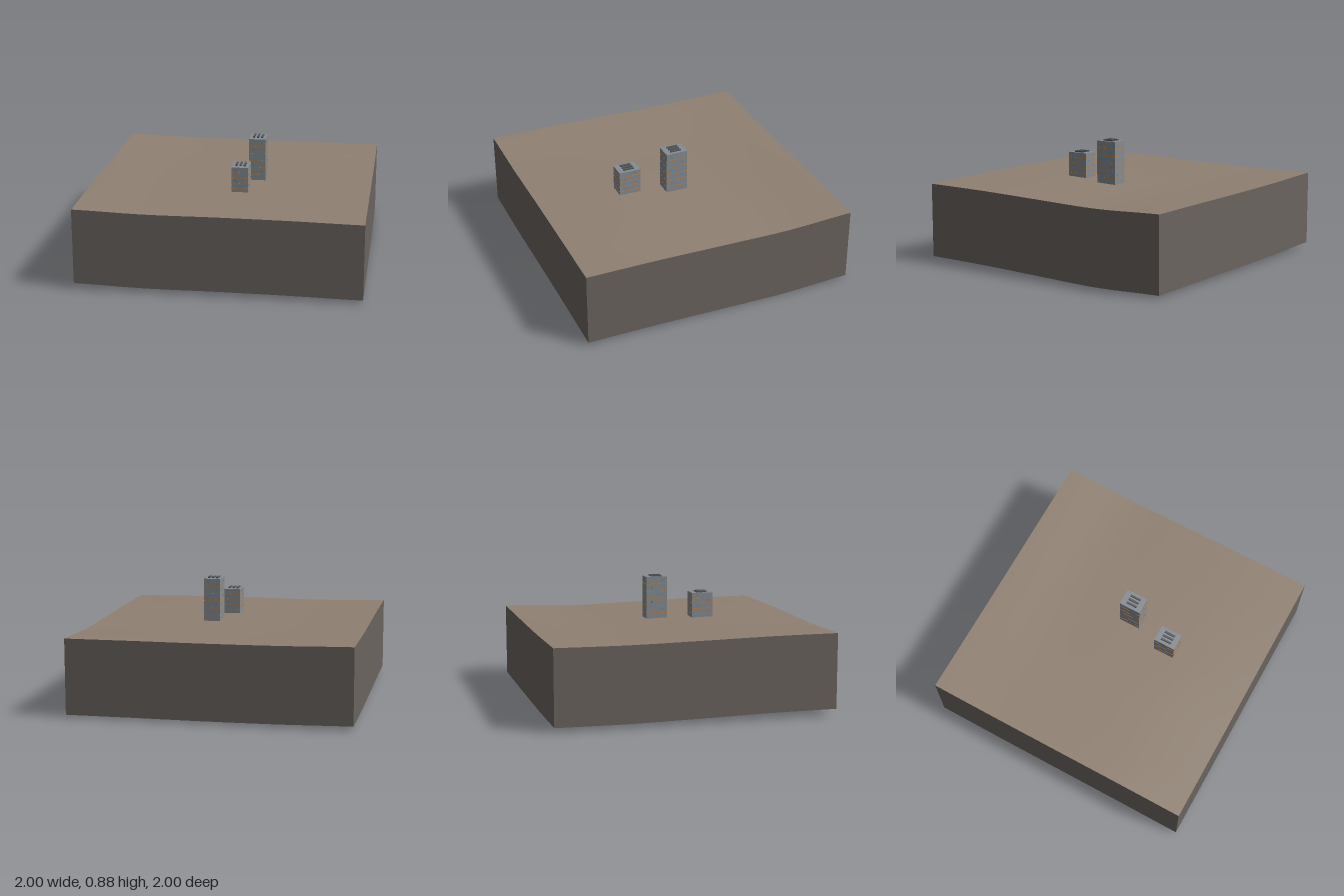
import * as THREE from 'three';

const mat = (name, color, side = THREE.FrontSide) => {
  const m = new THREE.MeshStandardMaterial({ color, side });
  m.name = name;
  return m;
};

// Smooth curve through five evenly spaced heights, t in 0..1
const profile = (h) => (t) => {
  const i = Math.min(3, Math.floor(t * 4)), f = t * 4 - i;
  const a = h[Math.max(0, i - 1)], b = h[i], c = h[i + 1], d = h[Math.min(4, i + 2)];
  return b + 0.5 * f * (c - a + f * (2 * a - 5 * b + 4 * c - d + f * (3 * (b - c) + d - a)));
};

// Edge heights of the ground: x runs -1..1, z runs -1..1
const back = profile([0.57, 0.56, 0.556, 0.556, 0.555]);
const front = profile([0.58, 0.567, 0.569, 0.567, 0.56]);
const left = profile([0.57, 0.565, 0.571, 0.579, 0.58]);
const right = profile([0.555, 0.537, 0.546, 0.557, 0.56]);
const mix = THREE.MathUtils.lerp;
const DEPTH = 0.537;

// Ground height blended between the four edges
function ground(x, z) {
  const u = (x + 1) / 2, v = (z + 1) / 2;
  const corners = mix(mix(back(0), back(1), u), mix(front(0), front(1), u), v);
  return mix(left(v), right(v), u) + mix(back(u), front(u), v) - corners;
}

export function createModel() {
  const model = new THREE.Group();
  const soil = mat('brown ground', 0x8f8071, THREE.DoubleSide);
  const wall = mat('dark earth', 0x6b645f, THREE.DoubleSide);
  const concrete = mat('grey concrete', 0x858c91);
  const vent = mat('dark grey vent', 0x565a5c);
  const orange = mat('orange light', 0xd08030);
  const blue = mat('blue window', 0x3f7fb5);

  const add = (parent, name, geometry, material, x = 0, y = 0, z = 0) => {
    const mesh = new THREE.Mesh(geometry, material);
    mesh.name = name;
    mesh.position.set(x, y, z);
    parent.add(mesh);
    return mesh;
  };

  // Gently rolling ground
  const top = new THREE.PlaneGeometry(2, 2, 40, 40).rotateX(-Math.PI / 2);
  const p = top.attributes.position;
  for (let i = 0; i < p.count; i++) p.setY(i, ground(p.getX(i), p.getZ(i)));
  top.computeVertexNormals();
  add(model, 'groundSurface', top, soil);

  // Four side walls that follow the ground edges, open below
  ['front', 'right', 'back', 'left'].forEach((side, k) => {
    const g = new THREE.PlaneGeometry(2, 1, 40, 1).translate(0, 0, 1).rotateY(k * Math.PI / 2);
    const q = g.attributes.position;
    for (let i = 0; i < q.count; i++) {
      const h = ground(q.getX(i), q.getZ(i));
      q.setY(i, q.getY(i) > 0 ? h : h - DEPTH);
    }
    g.computeVertexNormals();
    add(model, side + 'Wall', g, wall);
  });

  // Tower block with light bands, small windows and roof vents
  function tower(name, x, z, base, height, floors) {
    const W = 0.12, D = 0.16, t = new THREE.Group();
    t.name = name;
    t.position.set(x, base, z);
    add(t, 'block', new THREE.BoxGeometry(W, height, D), concrete, 0, height / 2, 0);
    const step = height / floors;
    const band = new THREE.BoxGeometry(W + 0.002, 0.004, D + 0.002);
    const pane = new THREE.BoxGeometry(0.008, 0.008, D + 0.002);
    const sidePane = new THREE.BoxGeometry(W + 0.002, 0.008, 0.008);
    for (let f = 1; f < floors; f++) {
      const y = f * step;
      add(t, 'lightBand', band, orange, 0, y, 0);
      const s = f % 2 ? 1 : -1;
      add(t, 'window', pane, blue, s * 0.03, y + step / 2, 0);
      add(t, 'sideWindow', sidePane, blue, 0, y + step / 2, s * 0.04);
    }
    for (const vx of [-0.03, 0, 0.03])
      add(t, 'roofVent', new THREE.BoxGeometry(0.014, 0.012, 0.08), vent, vx, height + 0.004, 0);
    model.add(t);
  }
  tower('tallTower', 0.165, 0, 0.54, 0.325, 6);
  tower('shortTower', 0.08, 0.33, 0.55, 0.195, 5);

  return model;
}
